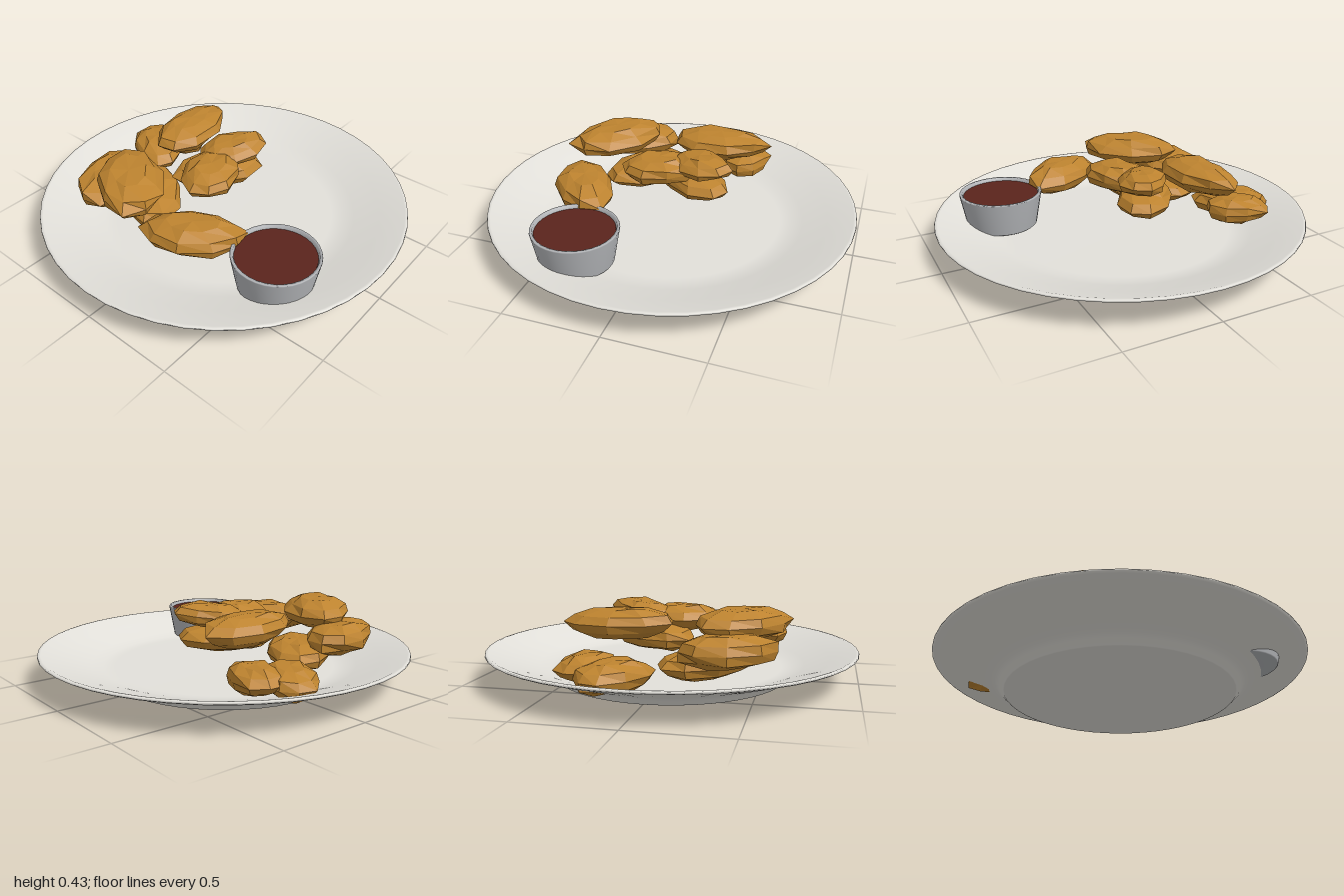
import * as THREE from 'three';

const mat = (color, extra = {}) => new THREE.MeshStandardMaterial({ color, ...extra });

// Surface of revolution from [radius, height] pairs
function lathe(name, pairs, material, segments) {
  const points = pairs.map(([r, y]) => new THREE.Vector2(r, y));
  const mesh = new THREE.Mesh(new THREE.LatheGeometry(points, segments), material);
  mesh.name = name;
  return mesh;
}

function seeded(seed) {
  let s = seed * 7919 + 17;
  return () => (s = (s * 16807) % 2147483647) / 2147483647;
}

// Lumpy low-poly ellipsoid, with a slight dimple at the poles
function nuggetGeometry(seed) {
  const geometry = new THREE.SphereGeometry(1, 9, 6);
  const pos = geometry.attributes.position;
  const random = seeded(seed);
  const factors = new Map();
  const v = new THREE.Vector3();
  for (let i = 0; i < pos.count; i++) {
    v.fromBufferAttribute(pos, i);
    const key = v.toArray().map((n) => Math.round(n * 100)).join();
    if (!factors.has(key)) factors.set(key, 0.92 + random() * 0.18);
    const pole = Math.abs(v.y) > 0.99;
    v.multiplyScalar(pole ? 0.9 : factors.get(key));
    pos.setXYZ(i, v.x, v.y, v.z);
  }
  return geometry;
}

export function createModel() {
  const model = new THREE.Group();

  // Plate: foot, sloping underside, rim, inner slope, floor
  model.add(lathe('plate', [
    [0, 0], [0.615, 0], [0.62, 0.002], [0.645, 0.028], [0.67, 0.047], [0.72, 0.065],
    [0.85, 0.108], [0.985, 0.153], [0.997, 0.16], [0.995, 0.168], [0.98, 0.17],
    [0.85, 0.127], [0.72, 0.085], [0.66, 0.068], [0.6, 0.062], [0, 0.062],
  ], mat(0xe2e0da, { side: THREE.DoubleSide }), 48));

  // Dip cup, its base sinking through the plate slope
  const cup = new THREE.Group();
  cup.name = 'dipCup';
  cup.position.set(0.58, 0, 0.305);
  cup.add(lathe('cupWall', [
    [0, 0.075], [0.185, 0.075], [0.19, 0.08], [0.222, 0.256], [0.22, 0.262],
    [0.207, 0.262], [0.202, 0.235], [0.19, 0.15],
  ], mat(0xb4b6b9, { side: THREE.DoubleSide }), 32));
  const sauce = new THREE.Mesh(new THREE.CylinderGeometry(0.202, 0.2, 0.01, 32), mat(0x5a241c));
  sauce.name = 'sauce';
  sauce.position.y = 0.24;
  cup.add(sauce);
  model.add(cup);

  // Nuggets: x, y, z, long-axis direction (degrees from +x to +z), half length, half width, half height, tilt
  const crust = mat(0xbd832f, { flatShading: true });
  const nuggets = [
    [-0.28, 0.35, 0.43, 38, 0.285, 0.175, 0.08, 0],
    [0.17, 0.25, 0.44, -30, 0.265, 0.155, 0.085, 0],
    [-0.49, 0.25, 0.38, 68, 0.255, 0.16, 0.085, 0],
    [-0.32, 0.15, 0.25, 42, 0.28, 0.16, 0.075, 0],
    [-0.39, 0.35, -0.17, 82, 0.275, 0.15, 0.08, 0],
    [-0.02, 0.33, 0.08, 68, 0.21, 0.15, 0.075, 0],
    [-0.06, 0.36, -0.14, -62, 0.19, 0.13, 0.065, 0.1],
    [-0.11, 0.24, -0.07, -58, 0.25, 0.145, 0.075, 0],
    [-0.65, 0.14, -0.13, 32, 0.22, 0.13, 0.08, 0],
    [-0.58, 0.16, -0.28, 20, 0.18, 0.13, 0.075, 0],
  ];
  nuggets.forEach(([x, y, z, angle, length, width, height, tilt], i) => {
    const nugget = new THREE.Mesh(nuggetGeometry(i + 1), crust);
    nugget.name = 'nugget' + (i + 1);
    nugget.scale.set(length, height, width);
    nugget.rotation.set(0, -THREE.MathUtils.degToRad(angle), tilt);
    nugget.rotation.order = 'YXZ';
    nugget.position.set(x, y, z);
    model.add(nugget);
  });

  return model;
}
